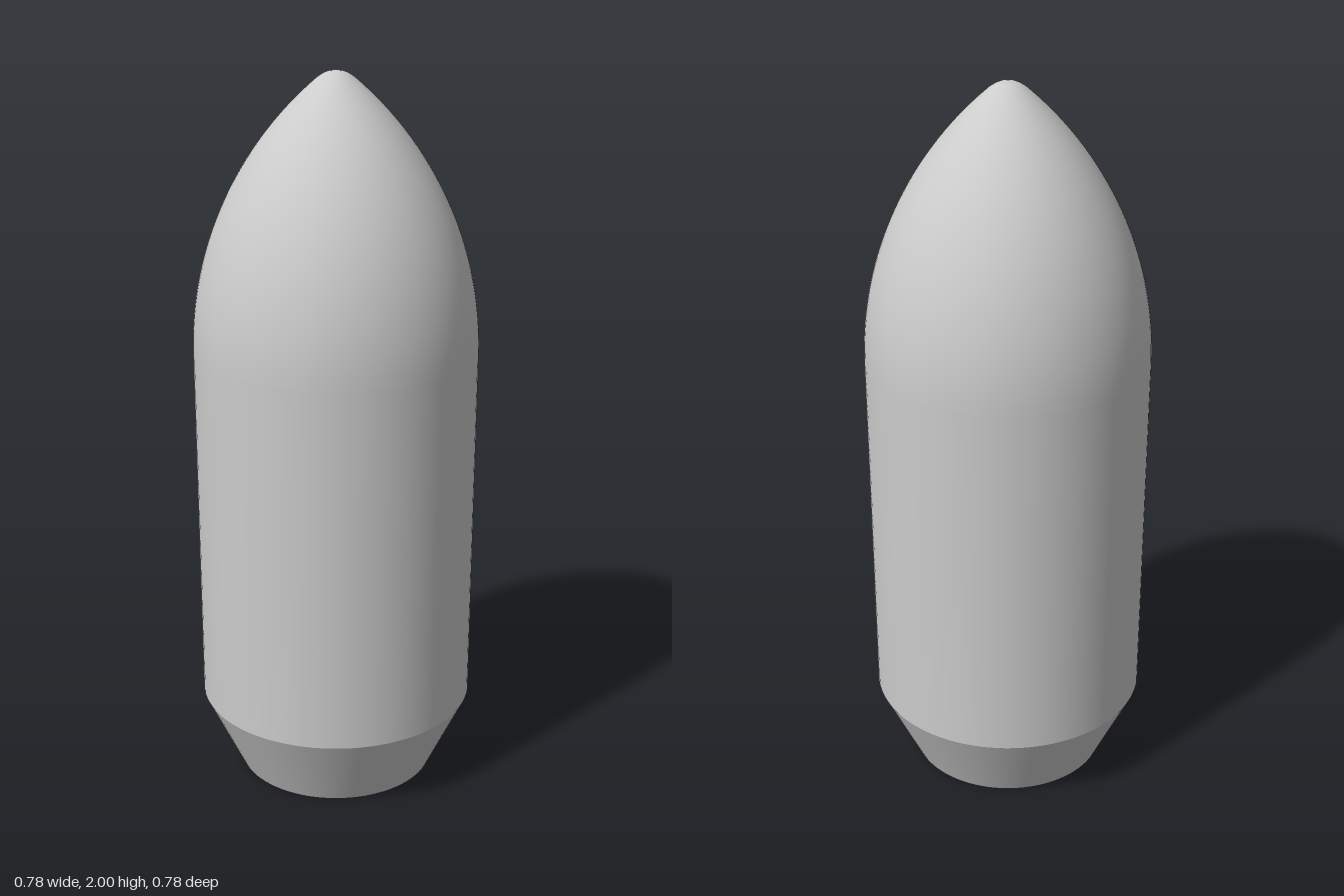
import * as THREE from 'three';

const SIDES = 96;
const R = 0.392; // body radius
const grey = new THREE.MeshStandardMaterial({ color: 0xcccccc });
const steel = new THREE.MeshStandardMaterial({ color: 0xa9adb5 });
const gold = new THREE.MeshStandardMaterial({ color: 0xd0a030 });

// Turned surface; profile runs [radius, height] from the base centre outward and up
function turned(name, profile, material) {
  const points = profile.map(([r, y]) => new THREE.Vector2(r, y));
  const mesh = new THREE.Mesh(new THREE.LatheGeometry(points, SIDES), material);
  mesh.name = name;
  return mesh;
}

// Each profile segment is its own surface, so the edges between them stay sharp
function stepped(name, profile, material) {
  const group = new THREE.Group();
  group.name = name;
  for (let i = 0; i < profile.length - 1; i++) {
    group.add(turned(name + 'Face' + (i + 1), [profile[i], profile[i + 1]], material));
  }
  return group;
}

// Tangent ogive meeting the cylinder smoothly, closed by a small rounded tip
function noseProfile(yBase) {
  const length = 2.02 - yBase;
  const rho = (R * R + length * length) / (2 * R);
  const points = [];
  for (let i = 0; i <= 32; i++) {
    const h = ((1.982 - yBase) * i) / 32;
    points.push([Math.sqrt(rho * rho - h * h) - rho + R, yBase + h]);
  }
  points.push([0.033, 1.992], [0.018, 1.998], [0, 2]);
  return points;
}

export function createModel() {
  const model = new THREE.Group();
  model.name = 'bullet';

  // Outer shell
  model.add(turned('taperedBase', [[0.285, 0], [R, 0.228]], grey));
  model.add(turned('body', [[R, 0.228], [R, 1.25]], grey));
  model.add(turned('nose', noseProfile(1.25), grey));

  // Base rim with a narrow groove inside it
  model.add(stepped('baseRim', [
    [0.24, 0.012], [0.252, 0.012], [0.252, 0.025], [0.266, 0.025], [0.266, 0], [0.285, 0],
  ], grey));

  // Stepped recess in the base
  model.add(stepped('recess', [
    [0.135, 0.13], [0.17, 0.115], [0.18, 0.08], [0.195, 0.08], [0.225, 0.04], [0.24, 0.012],
  ], steel));

  // Ringed insert at the bottom of the recess
  model.add(stepped('insert', [
    [0, 0.135], [0.04, 0.135], [0.045, 0.142], [0.07, 0.142], [0.075, 0.135],
    [0.1, 0.135], [0.105, 0.142], [0.13, 0.142], [0.135, 0.13],
  ], gold));

  return model;
}
